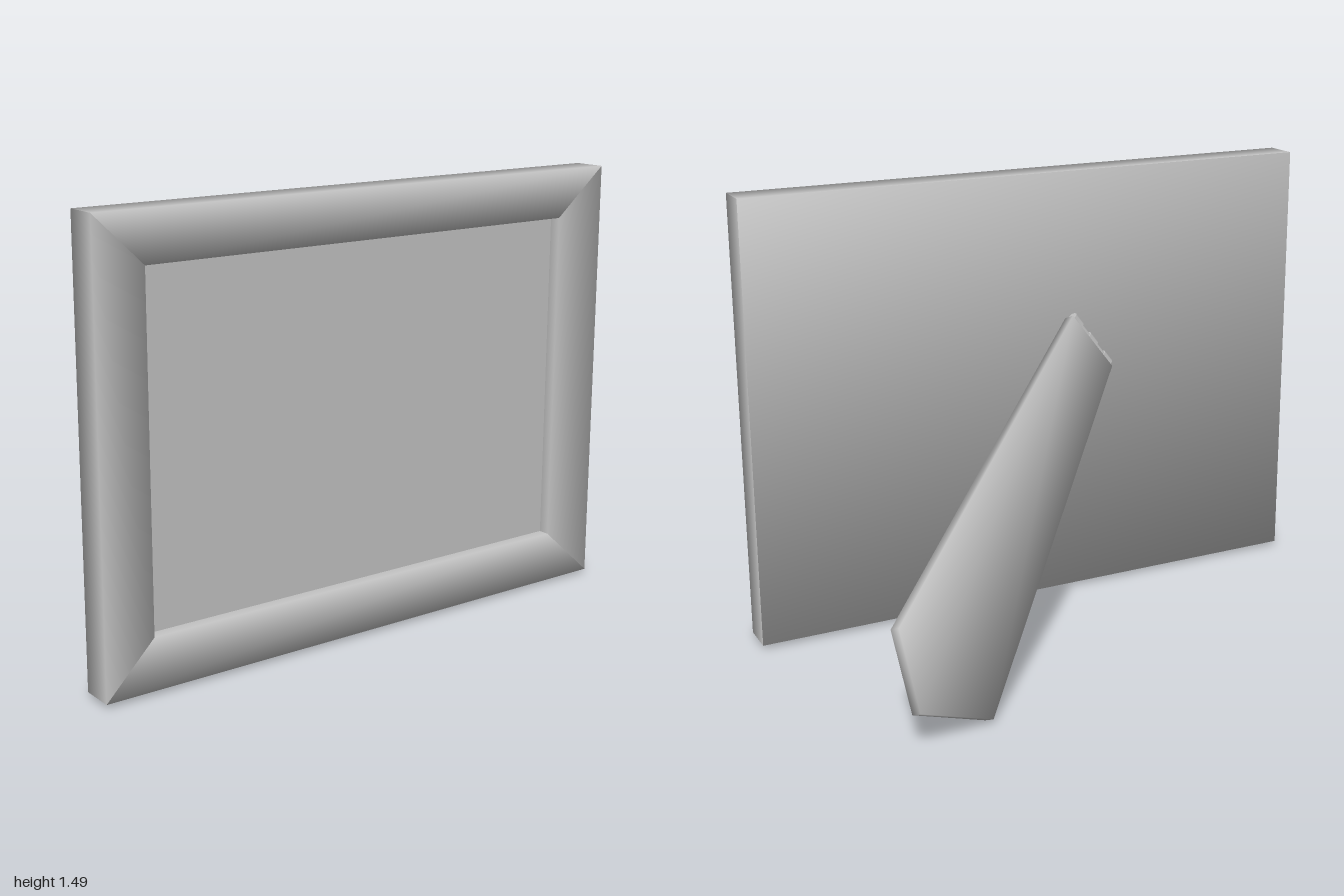
import * as THREE from 'three';

const V = (x, y, z) => new THREE.Vector3(x, y, z);

// Smooth solid from polygons. Each vertex normal is the plain average of the
// polygons around it; polygons in "hidden" steer the normals but are not drawn.
function smoothSolid(verts, polys, hidden = []) {
  const normals = verts.map(() => V(0, 0, 0));
  for (const p of [...polys, ...hidden]) {
    const [a, b, c] = p.map((i) => verts[i]);
    const n = b.clone().sub(a).cross(c.clone().sub(a)).normalize();
    p.forEach((i) => normals[i].add(n));
  }
  normals.forEach((n) => n.normalize());
  const index = [];
  for (const p of polys) for (let k = 1; k < p.length - 1; k++) index.push(p[0], p[k], p[k + 1]);
  const g = new THREE.BufferGeometry();
  g.setAttribute('position', new THREE.Float32BufferAttribute(verts.flatMap((v) => v.toArray()), 3));
  g.setAttribute('normal', new THREE.Float32BufferAttribute(normals.flatMap((v) => v.toArray()), 3));
  g.setIndex(index);
  return g;
}

export function createModel() {
  const model = new THREE.Group();
  const grey = new THREE.MeshStandardMaterial({ color: 0xc0c0c0 });
  grey.name = 'plain grey';
  const add = (parent, name, geometry) => {
    const m = new THREE.Mesh(geometry, grey);
    m.name = name;
    parent.add(m);
    return m;
  };

  // Frame, turned a little about the vertical
  const frame = new THREE.Group();
  frame.name = 'frame';
  frame.position.set(-0.0125, 0.755, 0.207);
  frame.rotation.y = -0.244;
  model.add(frame);

  const ring = (w, h, z) => [V(-w, -h, z), V(w, -h, z), V(w, h, z), V(-w, h, z)];
  const verts = [
    ...ring(1.0025, 0.74, -0.0575), // back edge
    ...ring(1.0025, 0.74, 0.0575),  // front edge
    ...ring(0.822, 0.572, 0.042),   // inner lip
    ...ring(0.822, 0.572, 0.003),   // seat of the picture
  ];
  const back = [3, 2, 1, 0];
  const walls = [];
  ['bottomBar', 'rightEndBar', 'topBar', 'leftEndBar'].forEach((name, i) => {
    const j = (i + 1) % 4;
    const wall = [4 + j, 4 + i, i, j];
    walls.push(wall);
    const face = [4 + i, 4 + j, 8 + j, 8 + i];
    const rebate = [8 + i, 8 + j, 12 + j, 12 + i];
    add(frame, name, smoothSolid(verts, [wall, face, rebate], [back]));
  });
  add(frame, 'backBoard', smoothSolid(verts, [back], walls));
  add(frame, 'picture', new THREE.PlaneGeometry(1.644, 1.144)).position.z = 0.003;

  // Easel leg: five-sided plate with softened edges
  const outer = [
    V(-0.105, 1.01, 0.085), V(0.993, 0.37, -0.415), V(0.993, 0.135, -0.51),
    V(0.715, 0.014, -0.493), V(-0.25, 0.815, 0.045),
  ];
  const thickness = V(0.007, -0.0135, 0.0315);
  const n = outer.length;
  const legVerts = [...outer, ...outer.map((p) => p.clone().add(thickness))];
  const legPolys = [[0, 1, 2, 3, 4], [9, 8, 7, 6, 5]];
  for (let i = 0; i < n; i++) {
    const j = (i + 1) % n;
    legPolys.push([j, i, n + i, n + j]);
  }
  add(model, 'easelLeg', smoothSolid(legVerts, legPolys));

  // Hinge knuckles between leg and back board
  const hinge = new THREE.Group();
  hinge.name = 'hinge';
  model.add(hinge);
  const start = V(-0.25, 0.82, 0.068), end = V(-0.118, 1.0, 0.105);
  const axis = end.clone().sub(start);
  const count = 5;
  for (let i = 0; i < count; i++) {
    const r = i % 2 ? 0.013 : 0.018;
    const k = add(hinge, 'hingeKnuckle', new THREE.CylinderGeometry(r, r, axis.length() / count, 12));
    k.position.copy(start).addScaledVector(axis, (i + 0.5) / count);
    k.quaternion.setFromUnitVectors(V(0, 1, 0), axis.clone().normalize());
  }
  return model;
}
